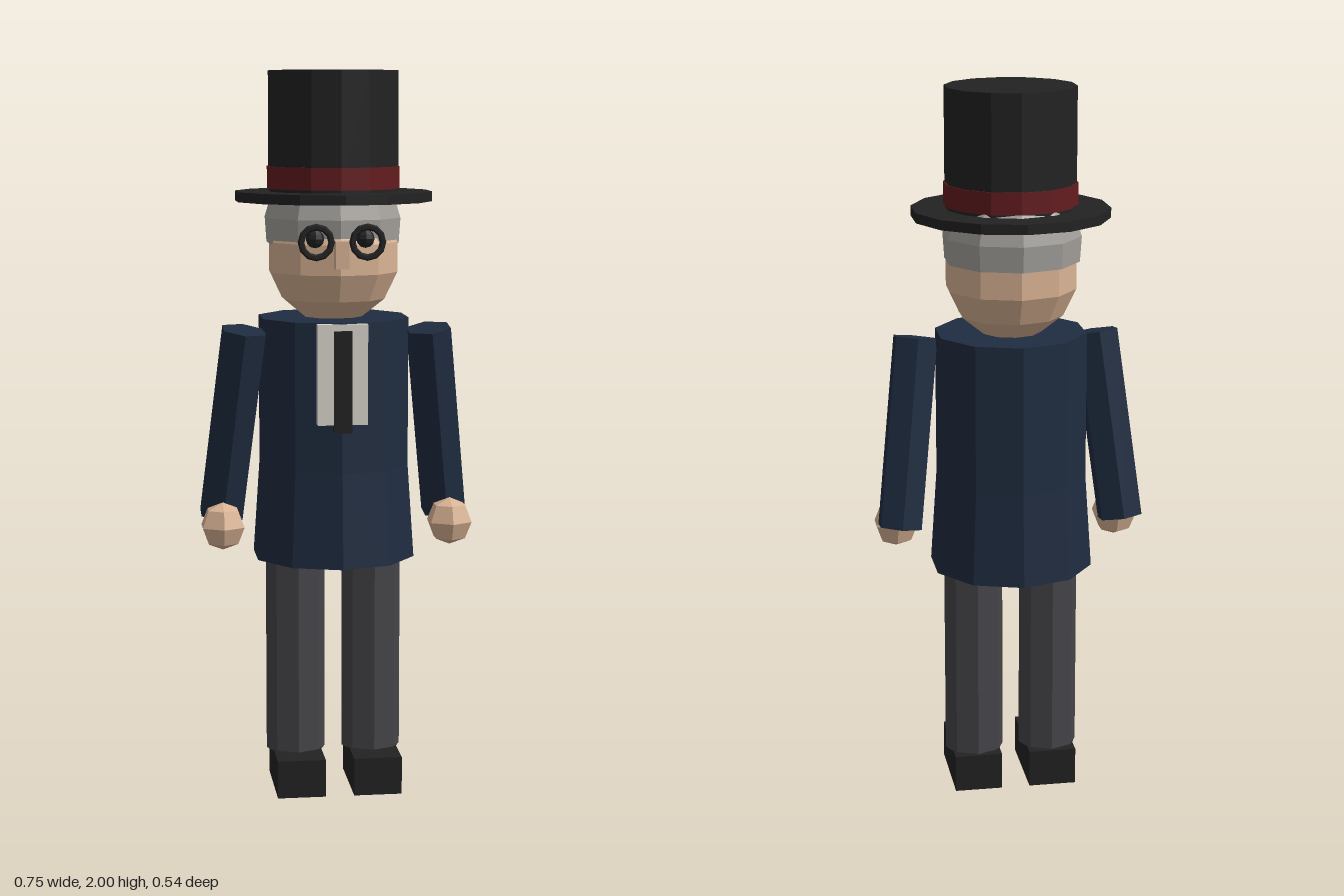
import * as THREE from 'three';

const mat = (name, color, side = THREE.FrontSide) =>
  new THREE.MeshStandardMaterial({ name, color, side, flatShading: true });

export function createModel() {
  const model = new THREE.Group();
  model.name = 'gentlemanFigure';

  const black = mat('black', 0x222222);
  const red = mat('hatBandRed', 0x641c1f);
  const skin = mat('skin', 0xd9b394);
  const grey = mat('hairGrey', 0xa3a09b, THREE.DoubleSide);
  const navy = mat('coatNavy', 0x1f2c40);
  const white = mat('shirtWhite', 0xd9d5cc);
  const charcoal = mat('trouserCharcoal', 0x454448);

  function add(name, geometry, material, x = 0, y = 0, z = 0) {
    const mesh = new THREE.Mesh(geometry, material);
    mesh.name = name;
    mesh.position.set(x, y, z);
    model.add(mesh);
    return mesh;
  }
  const box = (w, h, d) => new THREE.BoxGeometry(w, h, d);
  // upright prism between two heights
  const prism = (name, material, rTop, rBottom, y0, y1, sides, x = 0, z = 0) =>
    add(name, new THREE.CylinderGeometry(rTop, rBottom, y1 - y0, sides), material, x, (y0 + y1) / 2, z);
  // low-poly ball with a corner facing forward
  const ball = (r, sides, rows, theta = Math.PI) =>
    new THREE.SphereGeometry(r, sides, rows, 0, Math.PI * 2, 0, theta).rotateY(Math.PI / 2);

  // top hat
  prism('hatBrim', black, 0.272, 0.272, 1.647, 1.674, 14);
  prism('hatCrown', black, 0.179, 0.179, 1.67, 2, 14);
  prism('hatBand', red, 0.183, 0.183, 1.682, 1.742, 14);

  // head, hair and nose
  add('head', ball(0.185, 10, 7), skin, 0, 1.495, -0.005);
  add('hair', ball(0.192, 10, 5, Math.PI * 0.58), grey, 0, 1.58, -0.02);
  add('nose', box(0.037, 0.075, 0.06), skin, 0, 1.512, 0.18);

  // coat: straight body with a flared skirt
  const coat = [[0, 0.66], [0.229, 0.66], [0.211, 0.92], [0.211, 1.33], [0, 1.33]];
  add('coat', new THREE.LatheGeometry(coat.map(p => new THREE.Vector2(...p)), 10), navy);

  // shirt front and tie
  add('shirtFront', box(0.136, 0.272, 0.028), white, 0, 1.192, 0.203);
  add('tie', box(0.05, 0.275, 0.02), black, 0, 1.173, 0.215);

  // paired parts
  for (const s of [1, -1]) {
    const side = s > 0 ? 'left' : 'right';

    add(side + 'Eye', ball(0.025, 8, 6), black, s * 0.068, 1.553, 0.157);
    add(side + 'SpectacleRim', new THREE.TorusGeometry(0.041, 0.009, 6, 12), black, s * 0.069, 1.546, 0.196);

    // sleeve leaning outward and back
    const top = new THREE.Vector3(s * 0.254, 1.302, 0.08);
    const bottom = new THREE.Vector3(s * 0.314, 0.778, -0.002);
    const axis = top.clone().sub(bottom);
    const sleeve = add(side + 'Sleeve', new THREE.CylinderGeometry(0.066, 0.066, axis.length(), 6), navy);
    sleeve.position.addVectors(top, bottom).multiplyScalar(0.5);
    sleeve.quaternion.setFromUnitVectors(new THREE.Vector3(0, 1, 0), axis.normalize());
    add(side + 'Hand', ball(0.066, 6, 4), skin, s * 0.316, 0.762, 0.086);

    prism(side + 'Trouser', charcoal, 0.083, 0.083, 0.1, 0.7, 8, s * 0.107);
    add(side + 'Shoe', box(0.134, 0.106, 0.252), black, s * 0.107, 0.053, 0.034);
  }
  return model;
}
